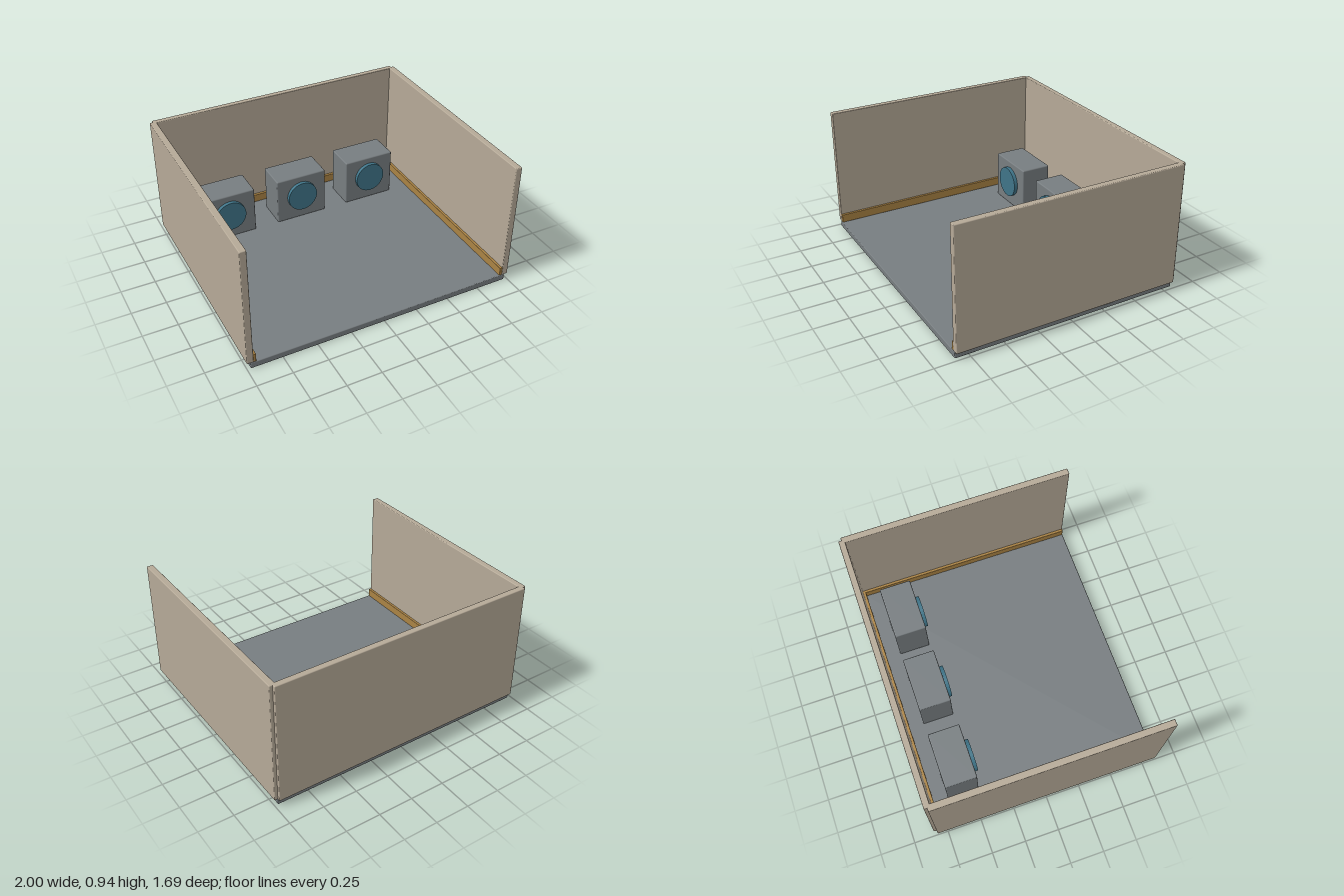
import * as THREE from 'three';
import { RoundedBoxGeometry } from 'three/addons/geometries/RoundedBoxGeometry.js';

const material = (name, color) => {
  const m = new THREE.MeshStandardMaterial({ color });
  m.name = name;
  return m;
};

export function createModel() {
  const model = new THREE.Group();
  model.name = 'laundryRoom';

  const plaster = material('plaster', 0xb5a997);
  const grey = material('grey', 0x777d80);
  const wood = material('wood', 0xaa8344);
  const glass = material('glass', 0x3f7488);

  // Box given by its limits on each axis, with softly bevelled edges
  const box = (name, mat, [x0, x1], [y0, y1], [z0, z1], bevel = 0.006, parent = model) => {
    const size = [x1 - x0, y1 - y0, z1 - z0];
    const geometry = bevel
      ? new RoundedBoxGeometry(...size, 2, bevel)
      : new THREE.BoxGeometry(...size);
    const mesh = new THREE.Mesh(geometry, mat);
    mesh.name = name;
    mesh.position.set((x0 + x1) / 2, (y0 + y1) / 2, (z0 + z1) / 2);
    parent.add(mesh);
    return mesh;
  };

  // Floor slab
  box('floor', grey, [-0.975, 0.975], [0, 0.047], [-0.823, 0.847]);

  // Back wall and its skirting board
  box('backWall', plaster, [-0.977, 0.977], [0.047, 0.938], [-0.847, -0.803]);
  box('backSkirting', wood, [-0.953, 0.953], [0.047, 0.11], [-0.805, -0.783], 0.003);

  // Side walls with skirting boards
  for (const [side, s] of [['left', 1], ['right', -1]]) {
    const span = (a, b) => [Math.min(s * a, s * b), Math.max(s * a, s * b)];
    box(side + 'Wall', plaster, span(0.953, 1), [0.047, 0.938], [-0.825, 0.847]);
    box(side + 'Skirting', wood, span(0.934, 0.955), [0.047, 0.11], [-0.805, 0.845], 0.003);
  }

  // Row of washing machines, each with a round door
  const doorGeometry = new THREE.CylinderGeometry(0.117, 0.117, 0.04, 40).rotateX(Math.PI / 2);
  for (const x of [-0.584, 0, 0.584]) {
    const machine = new THREE.Group();
    machine.name = 'washingMachine';
    machine.position.x = x;
    box('machineBody', grey, [-0.2, 0.2], [0.047, 0.41], [-0.677, -0.445], 0.009, machine);
    const door = new THREE.Mesh(doorGeometry, glass);
    door.name = 'machineDoor';
    door.position.set(0, 0.245, -0.437);
    machine.add(door);
    model.add(machine);
  }

  return model;
}
